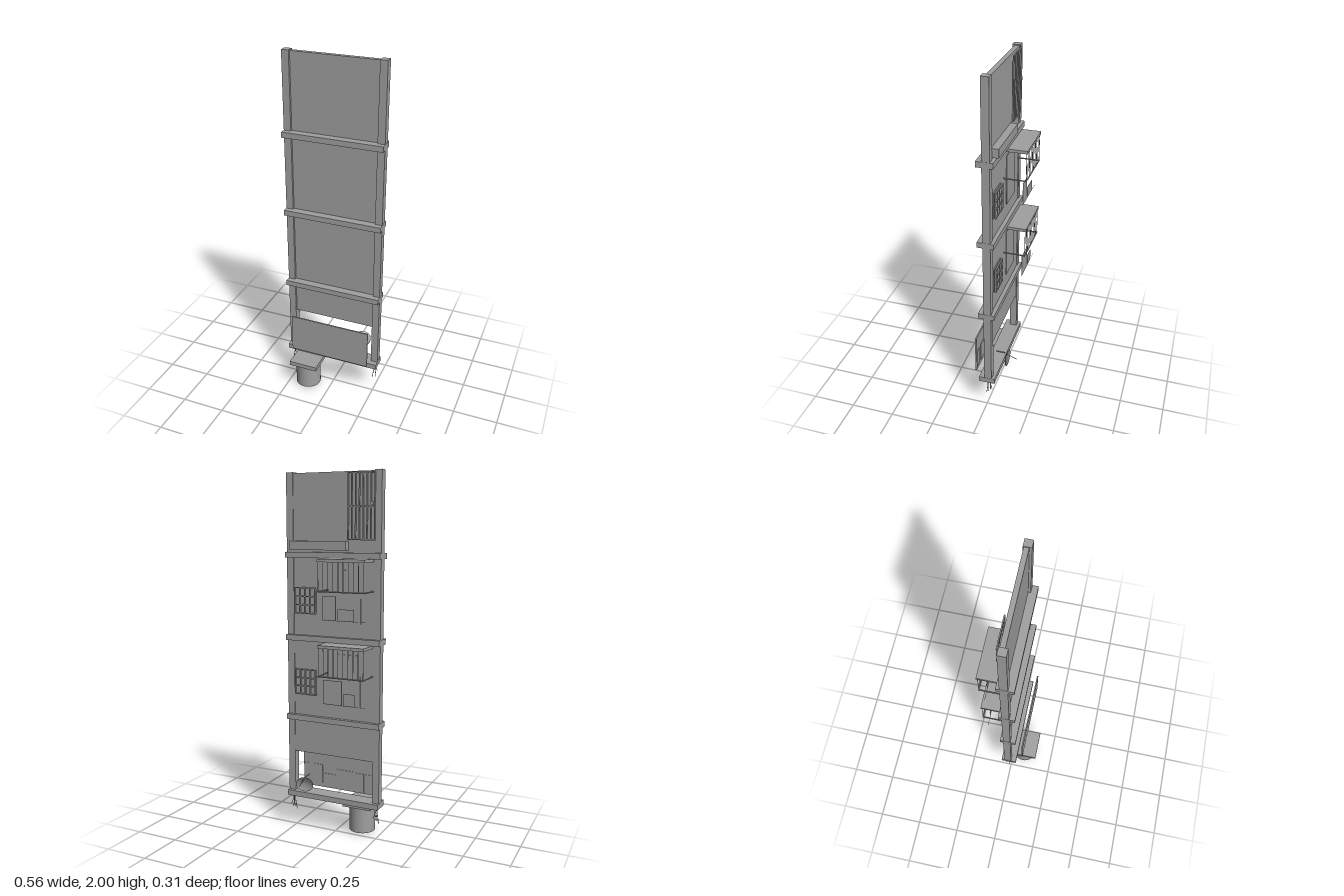
import * as THREE from 'three';

export function createModel() {
  const model = new THREE.Group();
  const gray = new THREE.MeshStandardMaterial({ color: 0xa0a0a0 });
  gray.name = 'concreteGray';
  gray.side = THREE.DoubleSide;

  const add = (name, geometry, parent = model) => {
    const mesh = new THREE.Mesh(geometry, gray);
    mesh.name = name;
    parent.add(mesh);
    return mesh;
  };
  const group = (name, y = 0) => {
    const g = new THREE.Group();
    g.name = name;
    g.position.y = y;
    model.add(g);
    return g;
  };
  // Box from its lower and upper limits on each axis
  const box = (name, [x0, x1], [y0, y1], [z0, z1], parent) => {
    const mesh = add(name, new THREE.BoxGeometry(x1 - x0, y1 - y0, z1 - z0), parent);
    mesh.position.set((x0 + x1) / 2, (y0 + y1) / 2, (z0 + z1) / 2);
    return mesh;
  };
  // Thin round rod between two points
  const rod = (name, a, b, r, parent) => {
    const p = new THREE.Vector3(...a), q = new THREE.Vector3(...b);
    const mesh = add(name, new THREE.CylinderGeometry(r, r, p.distanceTo(q), 6), parent);
    mesh.position.copy(p).lerp(q, 0.5);
    mesh.quaternion.setFromUnitVectors(new THREE.Vector3(0, 1, 0), q.sub(p).normalize());
  };
  // Framed grid of bars with even spacing
  const grille = (name, [x0, x1], [y0, y1], [z0, z1], columns, rows, t, parent) => {
    const g = new THREE.Group();
    g.name = name;
    parent.add(g);
    for (let i = 0; i <= columns; i++) {
      const x = x0 + t / 2 + (x1 - x0 - t) * i / columns;
      box('verticalBar', [x - t / 2, x + t / 2], [y0, y1], [z0, z1], g);
    }
    for (let i = 0; i <= rows; i++) {
      const y = y0 + t / 2 + (y1 - y0 - t) * i / rows;
      box('crossBar', [x0, x1], [y - t / 2, y + t / 2], [z0, z1], g);
    }
  };

  // Columns and floor beams
  for (const x of [-0.259, 0.257]) box('column', [x - 0.02, x + 0.02], [0.2, 2], [-0.035, 0.007]);
  for (const y of [0.19, 0.643, 1.096, 1.549]) box('floorBeam', [-0.28, 0.278], [y, y + 0.031], [-0.053, 0.038]);

  // Wall panels, the lowest one ending above the ground floor opening
  for (const [y0, y1] of [[0.455, 0.645], [0.672, 1.098], [1.125, 1.55], [1.578, 1.995]])
    box('wall', [-0.24, 0.238], [y0, y1], [-0.031, -0.006]);

  // Detached front panel with thin shop fittings on its back
  box('frontPanel', [-0.237, 0.235], [0.225, 0.455], [0.066, 0.074]);
  for (const [x0, x1, y0, y1] of [[0.19, 0.23, 0.25, 0.36], [0.113, 0.167, 0.25, 0.36],
    [0.03, 0.105, 0.23, 0.31], [-0.08, 0.02, 0.228, 0.345], [-0.147, -0.087, 0.228, 0.34], [-0.22, -0.155, 0.228, 0.34]])
    box('panelFitting', [x0, x1], [y0, y1], [0.063, 0.066]);

  // Top floor ledge and window grille
  box('ledge', [-0.092, 0.241], [1.592, 1.64], [-0.07, -0.031]);
  grille('topGrille', [-0.246, -0.09], [1.645, 1.99], [-0.045, -0.039], 7, 2, 0.006, model);
  box('grilleLatch', [-0.238, -0.225], [1.822, 1.84], [-0.05, -0.039]);

  // The two balcony floors, measured from the beam below
  const laundry = [
    [[-0.1, 0.01, 0.134, 0.265], [-0.175, -0.11, 0.134, 0.2]],
    [[-0.065, 0.012, 0.134, 0.26], [-0.17, -0.075, 0.134, 0.195]],
  ];
  laundry.forEach((sheets, i) => {
    const f = group('balconyFloor', 0.643 + 0.453 * i);
    box('canopy', [-0.237, 0.033], [0.438, 0.454], [-0.157, -0.031], f);
    // Hanging cage and its rail
    for (let k = 0; k < 10; k++) {
      const x = -0.232 + 0.26 * k / 9;
      rod('cageBar', [x, 0.285, -0.151], [x, 0.44, -0.151], 0.0018, f);
    }
    rod('cageRail', [-0.237, 0.285, -0.151], [0.033, 0.285, -0.151], 0.004, f);
    for (const x of [-0.234, 0.03]) rod('railArm', [x, 0.285, -0.03], [x, 0.285, -0.153], 0.004, f);
    // Door plate with a raised frame
    box('door', [-0.165, -0.015], [0.11, 0.392], [-0.035, -0.031], f);
    // Window with bars
    box('windowPane', [0.1, 0.225], [0.152, 0.292], [-0.037, -0.031], f);
    grille('windowGrille', [0.098, 0.227], [0.15, 0.295], [-0.05, -0.042], 4, 3, 0.006, f);
    // Hung sheets on a thin line
    for (const [x0, x1, y0, y1] of sheets) box('hungSheet', [x0, x1], [y0, y1], [-0.131, -0.129], f);
    rod('sheetLine', [-0.235, 0.133, -0.13], [0.012, 0.133, -0.13], 0.001, f);
  });

  // Satellite dish: shallow bowl, wall arm and receiver
  const dishGroup = group('satelliteDish');
  const profile = [[0, 0], [0.02, 0.002], [0.038, 0.007], [0.049, 0.013]].map(p => new THREE.Vector2(...p));
  const dish = add('dishBowl', new THREE.LatheGeometry(profile, 24), dishGroup);
  dish.position.set(0.151, 0.29, -0.082);
  dish.quaternion.setFromUnitVectors(new THREE.Vector3(0, 1, 0), new THREE.Vector3(-0.3, -0.3, -0.9).normalize());
  rod('wallArm', [0.151, 0.325, -0.025], [0.151, 0.325, -0.08], 0.004, dishGroup);
  rod('receiverArm', [0.151, 0.32, -0.085], [0.151, 0.293, -0.148], 0.002, dishGroup);

  // Hanging drum with square cap and small outlet
  const drum = group('drum');
  box('drumCap', [-0.22, -0.052], [0.162, 0.188], [-0.014, 0.154], drum);
  for (const [name, r, y0, y1] of [['drumBody', 0.073, 0.015, 0.163], ['drumOutlet', 0.031, 0, 0.016]])
    add(name, new THREE.CylinderGeometry(r, r, y1 - y0, 32), drum).position.set(-0.137, (y0 + y1) / 2, 0.07);

  // Bent reinforcement rods under each column
  for (const side of [-1, 1]) {
    for (let i = 0; i < 4; i++) {
      const sx = i % 2 ? 1 : -1, sz = i < 2 ? 1 : -1;
      const x = side * 0.257 + sx * 0.007, z = -0.016 + sz * 0.007;
      const path = new THREE.CatmullRomCurve3([
        new THREE.Vector3(x, 0.195, z),
        new THREE.Vector3(x - sx * 0.003, 0.16, z),
        new THREE.Vector3(x + sx * 0.005, 0.092 + 0.013 * i, z + sz * 0.005),
      ]);
      add('reinforcementRod', new THREE.TubeGeometry(path, 6, 0.002, 5));
    }
  }
  return model;
}
